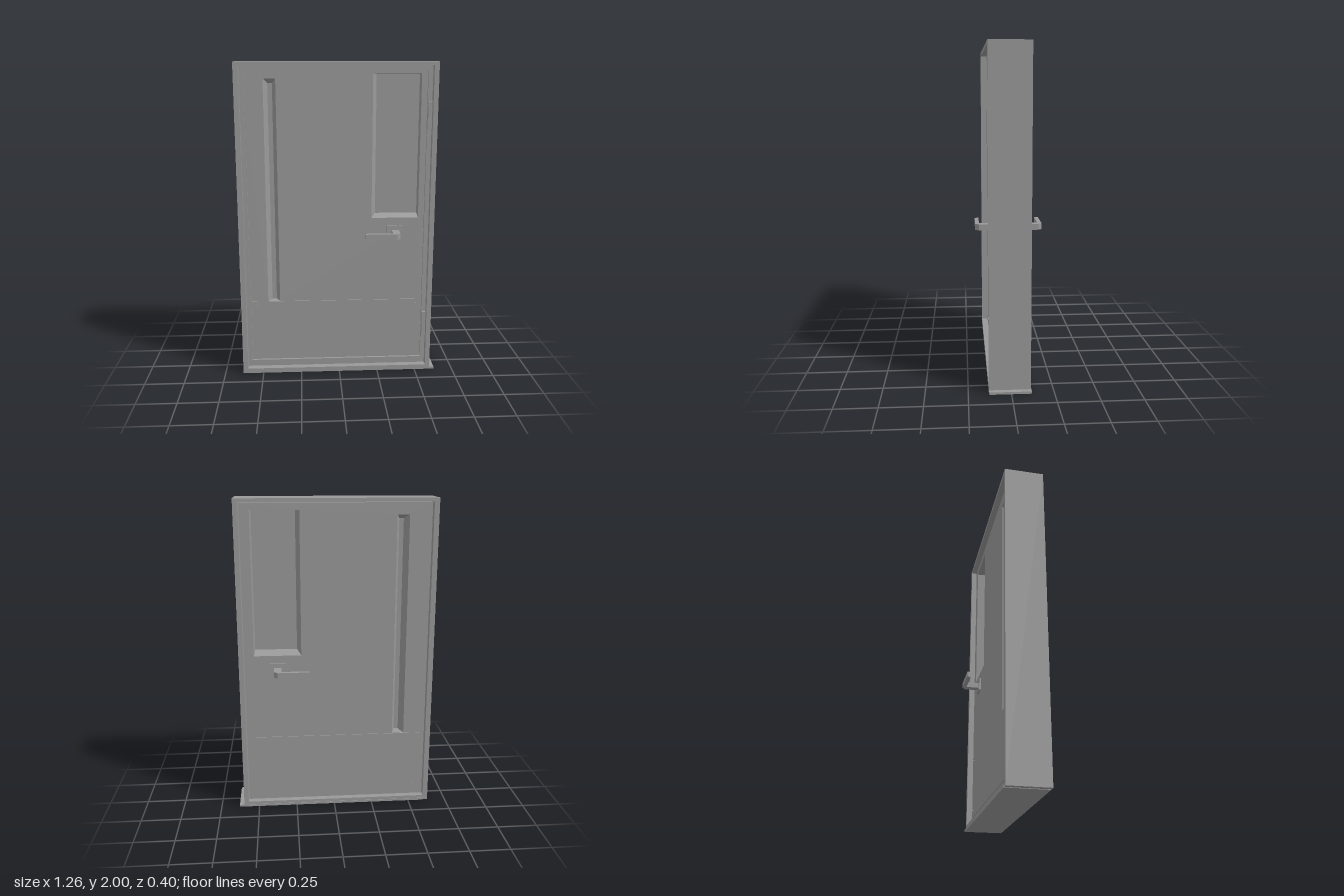
import * as THREE from 'three';

const paint = new THREE.MeshStandardMaterial({ color: 0x999999 });
paint.name = 'grey paint';

// rectangles are [x0, x1, y0, y1]
const corners = ([x0, x1, y0, y1]) => [[x0, y0], [x1, y0], [x1, y1], [x0, y1]];
const toShape = (pts) => new THREE.Shape(pts.map(([x, y]) => new THREE.Vector2(x, y)));

function addMesh(parent, name, geometry) {
  const mesh = new THREE.Mesh(geometry, paint);
  mesh.name = name;
  parent.add(mesh);
  return mesh;
}

// flat panel with rectangular openings, from z0 to z1
function panel(parent, name, rect, z0, z1, holes = []) {
  const shape = toShape(corners(rect));
  shape.holes = holes.map((h) => toShape(corners(h)));
  const geometry = new THREE.ExtrudeGeometry(shape, { depth: z1 - z0, bevelEnabled: false });
  return addMesh(parent, name, geometry.translate(0, 0, z0));
}

// four splayed faces from an outer opening at zOuter to a pane at zInner
function reveal(parent, name, outer, inner, zOuter, zInner) {
  const a = corners(outer), b = corners(inner);
  const positions = [];
  for (let i = 0; i < 4; i++) {
    const j = (i + 1) % 4;
    const p = [...a[i], zOuter], q = [...a[j], zOuter];
    const r = [...b[j], zInner], s = [...b[i], zInner];
    const order = zOuter > zInner ? [p, q, r, p, r, s] : [p, r, q, p, s, r];
    positions.push(...order.flat());
  }
  const geometry = new THREE.BufferGeometry();
  geometry.setAttribute('position', new THREE.Float32BufferAttribute(positions, 3));
  geometry.computeVertexNormals();
  addMesh(parent, name, geometry);
}

export function createModel() {
  const door = new THREE.Group();
  door.name = 'door';
  const FRONT = 0.075, BACK = -0.08, PANE_FRONT = 0.04, PANE_BACK = -0.015;

  // surround, stop and sill
  panel(door, 'frame', [-0.632, 0.6, 0.003, 2], -0.115, 0.131, [[-0.6, 0.57, 0.033, 1.977]]);
  panel(door, 'doorStop', [-0.6, 0.57, 0.033, 1.977], FRONT, 0.09, [[-0.573, 0.542, 0.075, 1.945]]);
  panel(door, 'sill', [-0.6, 0.63, 0, 0.014], -0.118, 0.129);

  // leaf with a wide window and a narrow slit
  const openings = [
    { name: 'window', outer: [0.207, 0.505, 1.03, 1.93], inner: [0.232, 0.498, 1.055, 1.927] },
    { name: 'slit', outer: [-0.46, -0.384, 0.482, 1.9], inner: [-0.434, -0.406, 0.486, 1.872] },
  ];
  panel(door, 'leaf', [-0.598, 0.566, 0.035, 1.972], BACK, FRONT, openings.map((o) => o.outer));
  for (const { name, outer, inner } of openings) {
    panel(door, name + 'Pane', outer, PANE_BACK, PANE_FRONT);
    reveal(door, name + 'FrontReveal', outer, inner, FRONT, PANE_FRONT);
    reveal(door, name + 'BackReveal', outer, inner, BACK, PANE_BACK);
  }

  // kick plates with corner screws, and lever handles, on both faces
  const leverProfile = toShape([
    [0.335, 0.07], [0.38, 0.07], [0.38, 0.176], [0.358, 0.198],
    [0.16, 0.198], [0.16, 0.174], [0.335, 0.174],
  ]);
  for (const side of [1, -1]) {
    const label = side > 0 ? 'front' : 'back';
    const face = side > 0 ? FRONT : BACK;
    const plateZ = face + side * 0.005;
    panel(door, label + 'KickPlate', [-0.568, 0.537, 0.077, 0.48],
      Math.min(face, plateZ), Math.max(face, plateZ));
    for (const x of [-0.53, 0.5]) {
      for (const y of [0.11, 0.45]) {
        const screw = addMesh(door, label + 'Screw', new THREE.CylinderGeometry(0.007, 0.007, 0.004, 10));
        screw.rotation.x = Math.PI / 2;
        screw.position.set(x, y, plateZ + side * 0.002);
      }
    }
    const rose = addMesh(door, label + 'Rose', new THREE.BoxGeometry(0.1, 0.085, 0.012));
    rose.position.set(0.355, 0.937, face + side * 0.006);
    // the profile is drawn in x and z, then laid flat
    const lever = new THREE.ExtrudeGeometry(leverProfile, { depth: 0.036, bevelEnabled: false });
    lever.rotateX(side * Math.PI / 2);
    lever.translate(0, side > 0 ? 0.953 : 0.917, 0);
    addMesh(door, label + 'Lever', lever);
  }

  // hinges on the left edge
  for (const y of [1.677, 0.312]) {
    const hinge = addMesh(door, 'hinge', new THREE.BoxGeometry(0.024, 0.172, 0.025));
    hinge.position.set(0.556, y, 0.096);
  }
  return door;
}
